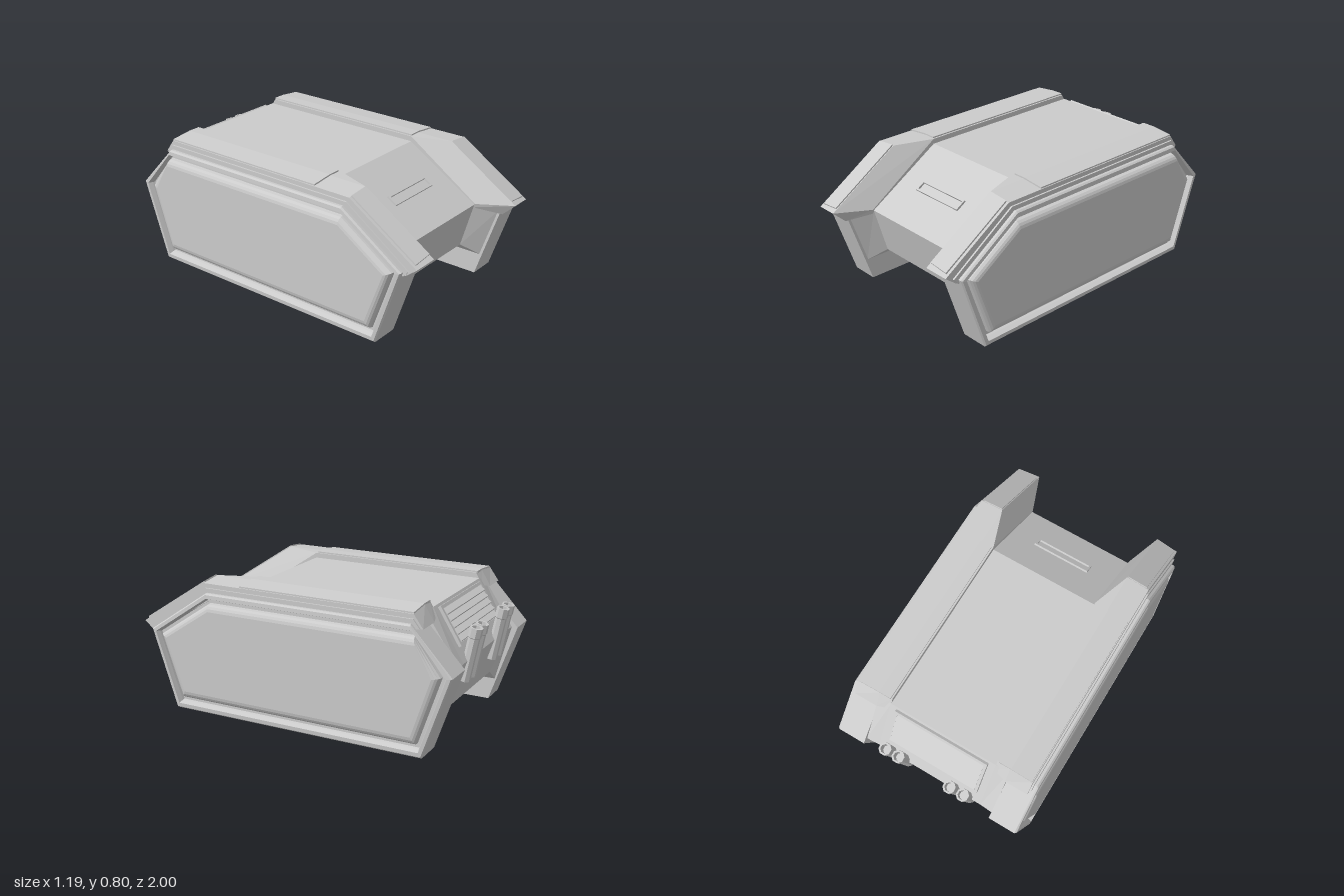
import * as THREE from 'three';

const mat = new THREE.MeshStandardMaterial({ color: 0xcccccc, flatShading: true });
const matDouble = new THREE.MeshStandardMaterial({ color: 0xcccccc, flatShading: true, side: THREE.DoubleSide });

function mesh(name, geometry, material = mat) {
  const m = new THREE.Mesh(geometry, material);
  m.name = name;
  return m;
}

// Skin of [x, profile] sections; a profile lists [z, y] from front over the top to the back
function loft(sections) {
  const pos = [];
  const put = (x, p) => pos.push(x, p[1], p[0]);
  const n = sections[0][1].length;
  for (let i = 0; i < sections.length - 1; i++) {
    const [x0, a] = sections[i], [x1, b] = sections[i + 1];
    for (let j = 0; j < n; j++) {
      const k = (j + 1) % n;
      put(x0, a[j]); put(x1, b[j]); put(x1, b[k]);
      put(x0, a[j]); put(x1, b[k]); put(x0, a[k]);
    }
  }
  const cap = ([x, p], sign) => {
    const tris = THREE.ShapeUtils.triangulateShape(p.map(q => new THREE.Vector2(q[0], q[1])), []);
    for (const [a, b, c] of tris) {
      const area = (p[b][0] - p[a][0]) * (p[c][1] - p[a][1]) - (p[b][1] - p[a][1]) * (p[c][0] - p[a][0]);
      const order = area * sign < 0 ? [a, b, c] : [a, c, b];
      order.forEach(i => put(x, p[i]));
    }
  };
  cap(sections[0], -1);
  cap(sections[sections.length - 1], 1);
  const g = new THREE.BufferGeometry();
  g.setAttribute('position', new THREE.Float32BufferAttribute(pos, 3));
  g.computeVertexNormals();
  return g;
}

const mirrored = sections => sections.map(([x, p]) => [-x, p]).reverse();

// Flat rectangular frame lying in XZ, rising along +y
function frame(w, d, bar, height) {
  const s = new THREE.Shape([[-w, -d], [w, -d], [w, d], [-w, d]].map(([x, y]) => new THREE.Vector2(x / 2, y / 2)));
  const iw = w - 2 * bar, id = d - 2 * bar;
  s.holes.push(new THREE.Path([[-iw, -id], [-iw, id], [iw, id], [iw, -id]].map(([x, y]) => new THREE.Vector2(x / 2, y / 2))));
  return new THREE.ExtrudeGeometry(s, { depth: height, bevelEnabled: false }).rotateX(-Math.PI / 2);
}

export function createModel() {
  const model = new THREE.Group();
  model.name = 'hull';

  // Central body, flaring out towards the side pods
  const mid = [[0.70, 0.20], [0.78, 0.48], [0.33, 0.76], [-0.75, 0.76], [-0.93, 0.47], [-0.84, 0.20]];
  const flare = [[0.79, 0.13], [0.90, 0.455], [0.52, 0.72], [-0.74, 0.76], [-0.935, 0.47], [-0.845, 0.13]];
  model.add(mesh('centralBody', loft([[-0.418, flare], [-0.335, mid], [0.335, mid], [0.418, flare]])));

  // Side pods: hexagonal boxes with rim, groove and bulged panel
  const outer = [[0.76, 0], [0.915, 0.465], [0.53, 0.725], [-0.73, 0.725], [-0.97, 0.47], [-0.81, 0]];
  const panel = [[0.72, 0.07], [0.85, 0.44], [0.52, 0.66], [-0.75, 0.66], [-0.90, 0.46], [-0.77, 0.07]];
  const inset = t => outer.map((p, i) => p.map((v, k) => v + (panel[i][k] - v) * t));
  const pod = [[0.415, 0], [0.58, 0], [0.59, 0.12], [0.592, 0.45], [0.565, 0.6], [0.55, 0.65], [0.55, 0.95],
    [0.572, 1.0], [0.585, 1.15], [0.593, 1.35], [0.597, 1.6]].map(([x, t]) => [x, inset(t)]);

  // Fender over each pod: flat top, sloping front with a lip
  const fender = [
    [0.335, [[0.77, 0.46], [0.785, 0.485], [0.33, 0.79], [-0.73, 0.79], [-0.77, 0.72], [0.34, 0.70]]],
    [0.415, [[0.92, 0.43], [1.0, 0.505], [0.56, 0.79], [-0.735, 0.79], [-0.79, 0.70], [0.52, 0.68]]],
    [0.555, [[0.92, 0.44], [0.99, 0.495], [0.56, 0.775], [-0.735, 0.775], [-0.79, 0.70], [0.52, 0.68]]],
  ];
  // Raised plates on the fender top and on its slope
  const strip = y => [[0.325, y - 0.03], [0.325, y], [-0.735, y], [-0.735, y - 0.03]];
  const topPlate = [[0.345, strip(0.798)], [0.42, strip(0.798)], [0.55, strip(0.784)]];
  const slope = dy => [[0.965, 0.505 + dy], [0.975, 0.53 + dy], [0.565, 0.796 + dy], [0.555, 0.77 + dy]];
  const slopePlate = [[0.42, slope(0)], [0.54, slope(-0.012)]];
  // Narrow ledge between fender and pod
  const ledge = [[0.915, 0.44], [0.945, 0.475], [0.545, 0.75], [-0.735, 0.75], [-0.775, 0.70], [0.52, 0.68]];
  const ledgeSections = [[0.43, ledge], [0.565, ledge]];

  for (const [side, flip] of [['left', s => s], ['right', mirrored]]) {
    const parts = { Pod: pod, Fender: fender, FenderTopPlate: topPlate, FenderSlopePlate: slopePlate, FenderLedge: ledgeSections };
    for (const [name, sections] of Object.entries(parts)) model.add(mesh(side + name, loft(flip(sections))));
  }

  // Vision slit on the front slope
  const slit = new THREE.Group();
  slit.name = 'visionSlit';
  slit.position.set(0, 0.617, 0.56);
  slit.rotation.x = Math.atan2(0.45, 0.28) * -1 + Math.PI / 2;
  slit.add(mesh('slitFrame', frame(0.355, 0.07, 0.012, 0.012)));
  model.add(slit);

  // Slatted grille on the rear slope
  const grille = new THREE.Group();
  grille.name = 'rearGrille';
  grille.position.set(0, 0.645, -0.822);
  grille.rotation.x = Math.atan2(-0.29, 0.18);
  grille.add(mesh('grilleFrame', frame(0.59, 0.24, 0.018, 0.018)));
  for (let i = 0; i < 5; i++) {
    const slat = mesh('grilleSlat', new THREE.BoxGeometry(0.555, 0.012, 0.04));
    slat.position.set(0, 0.012, (i - 2) * 0.04);
    slat.rotation.x = 0.5;
    grille.add(slat);
  }
  model.add(grille);

  // Two pairs of hollow eight-sided exhaust pipes
  const tube = [[0, 0], [0.033, 0], [0.033, 0.25], [0.037, 0.255], [0.037, 0.31], [0.026, 0.31], [0.026, 0.24], [0, 0.24]];
  const pipeGeometry = new THREE.LatheGeometry(tube.map(([r, y]) => new THREE.Vector2(r, y)), 8, Math.PI / 8);
  for (const x of [-0.25, -0.165, 0.165, 0.25]) {
    const pipe = mesh('exhaustPipe', pipeGeometry, matDouble);
    pipe.position.set(x, 0.35, -0.905);
    pipe.rotation.x = -0.19;
    model.add(pipe);
  }
  return model;
}
